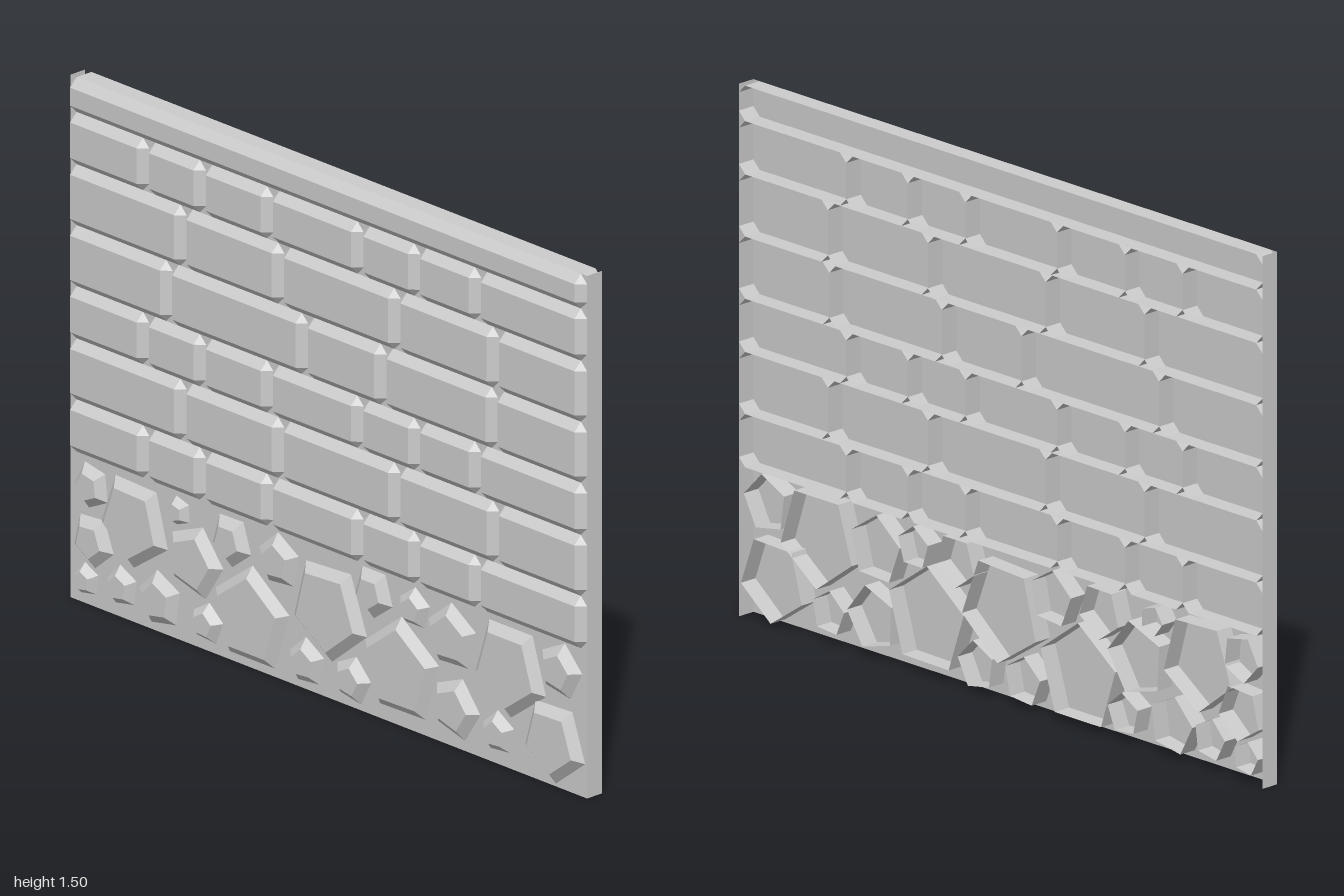
import * as THREE from 'three';

const BACK = -0.039, BASE = 0.015, FRONT = 0.039, BEVEL = 0.024;
const HEIGHT = 1.5, FOOT = 0.425;

// Shell lofted through rings of points (counter-clockwise, back to front), capped in front
function shell(rings) {
  const n = rings[0].length, index = [];
  for (let r = 0; r + 1 < rings.length; r++) {
    for (let i = 0; i < n; i++) {
      const a = r * n + i, b = r * n + (i + 1) % n;
      index.push(a, b, b + n, a, b + n, a + n);
    }
  }
  const cap = (rings.length - 1) * n;
  for (let i = 1; i + 1 < n; i++) index.push(cap, cap + i, cap + i + 1);
  const indexed = new THREE.BufferGeometry();
  indexed.setAttribute('position', new THREE.Float32BufferAttribute(rings.flat(2), 3));
  indexed.setIndex(index);
  const g = indexed.toNonIndexed();
  g.computeVertexNormals();
  return g;
}

// Brick with chamfered corners and a bevelled front, open at the back
function brick(x0, x1, y0, y1) {
  const cx = (x0 + x1) / 2, cy = (y0 + y1) / 2, w = (x1 - x0) / 2, h = (y1 - y0) / 2;
  const body = [], face = [];
  for (const [sx, sy] of [[1, 1], [-1, 1], [-1, -1], [1, -1]]) {
    const side = [cx + sx * w, cy + sy * (h - BEVEL)];
    const level = [cx + sx * (w - BEVEL), cy + sy * h];
    body.push(...(sx * sy > 0 ? [side, level] : [level, side]));
    const corner = [cx + sx * (w - BEVEL), cy + sy * (h - BEVEL), FRONT];
    face.push(corner, corner);
  }
  return shell([body.map((p) => [...p, BACK]), body.map((p) => [...p, BASE]), face]);
}

// Five-sided stone with a bevelled front, open at the back
function stone(x, y, radius, degrees) {
  const ring = (r, z) => Array.from({ length: 5 }, (_, i) => {
    const a = THREE.MathUtils.degToRad(degrees + i * 72);
    return [x + r * Math.cos(a), y + r * Math.sin(a), z];
  });
  const inner = radius - Math.min(0.032, radius * 0.42);
  return shell([ring(radius, BACK), ring(radius, BASE), ring(inner, FRONT)]);
}

export function createModel() {
  const wall = new THREE.Group();
  wall.name = 'wall';
  const material = new THREE.MeshStandardMaterial({
    color: 0xcccccc, flatShading: true, side: THREE.DoubleSide,
  });
  const add = (geometry, name, parent = wall) => {
    const mesh = new THREE.Mesh(geometry, material);
    mesh.name = name;
    parent.add(mesh);
  };

  // Panel with its two end returns, open at top, bottom and back
  for (const side of [-1, 1]) {
    const end = new THREE.PlaneGeometry(BASE - BACK, HEIGHT).rotateY(side * Math.PI / 2);
    add(end.translate(side, HEIGHT / 2, (BASE + BACK) / 2), side > 0 ? 'leftEnd' : 'rightEnd');
  }
  add(new THREE.PlaneGeometry(2, HEIGHT).translate(0, HEIGHT / 2, BASE), 'panel');

  // Brick courses, from the lowest to the coping
  const narrow = [-0.695, -0.475, -0.215, 0.135, 0.355, 0.59];
  const wide = [-0.55, -0.172, 0.278, 0.66];
  const long = [-0.605, -0.08, 0.225, 0.655];
  const courses = [narrow, wide, narrow, long, wide, narrow, []];
  const levels = [FOOT, 0.575, 0.75, 0.9, 1.075, 1.25, 1.4, HEIGHT];
  courses.forEach((joints, row) => {
    const course = new THREE.Group();
    course.name = joints.length ? 'brickCourse' : 'coping';
    wall.add(course);
    const xs = [-1, ...joints, 1];
    for (let i = 0; i + 1 < xs.length; i++) {
      add(brick(xs[i], xs[i + 1], levels[row], levels[row + 1]), 'brick', course);
    }
  });

  // Stones set through the panel: x, y, radius, angle of one corner
  const stones = [
    [-0.915, 0.345, 0.068, 115], [-0.75, 0.29, 0.135, 268], [-0.575, 0.37, 0.043, 110],
    [-0.375, 0.345, 0.078, 55], [-0.19, 0.34, 0.08, 95], [0.005, 0.255, 0.148, 273],
    [0.175, 0.355, 0.076, 54], [0.335, 0.355, 0.06, 90], [0.48, 0.315, 0.097, 93],
    [0.705, 0.29, 0.143, 270], [0.90, 0.34, 0.082, 80], [-0.91, 0.19, 0.08, 130],
    [-0.515, 0.245, 0.107, 75], [-0.295, 0.145, 0.15, 90], [0.285, 0.165, 0.15, 91],
    [0.875, 0.13, 0.122, 56], [-0.935, 0.07, 0.048, 100], [-0.797, 0.09, 0.06, 100],
    [-0.65, 0.095, 0.083, 100], [-0.467, 0.08, 0.06, 85], [-0.082, 0.08, 0.07, 95],
    [0.095, 0.08, 0.07, 80], [0.495, 0.115, 0.092, 75], [0.66, 0.092, 0.063, 95],
  ];
  const footing = new THREE.Group();
  footing.name = 'stoneFooting';
  wall.add(footing);
  for (const values of stones) add(stone(...values), 'stone', footing);
  return wall;
}
